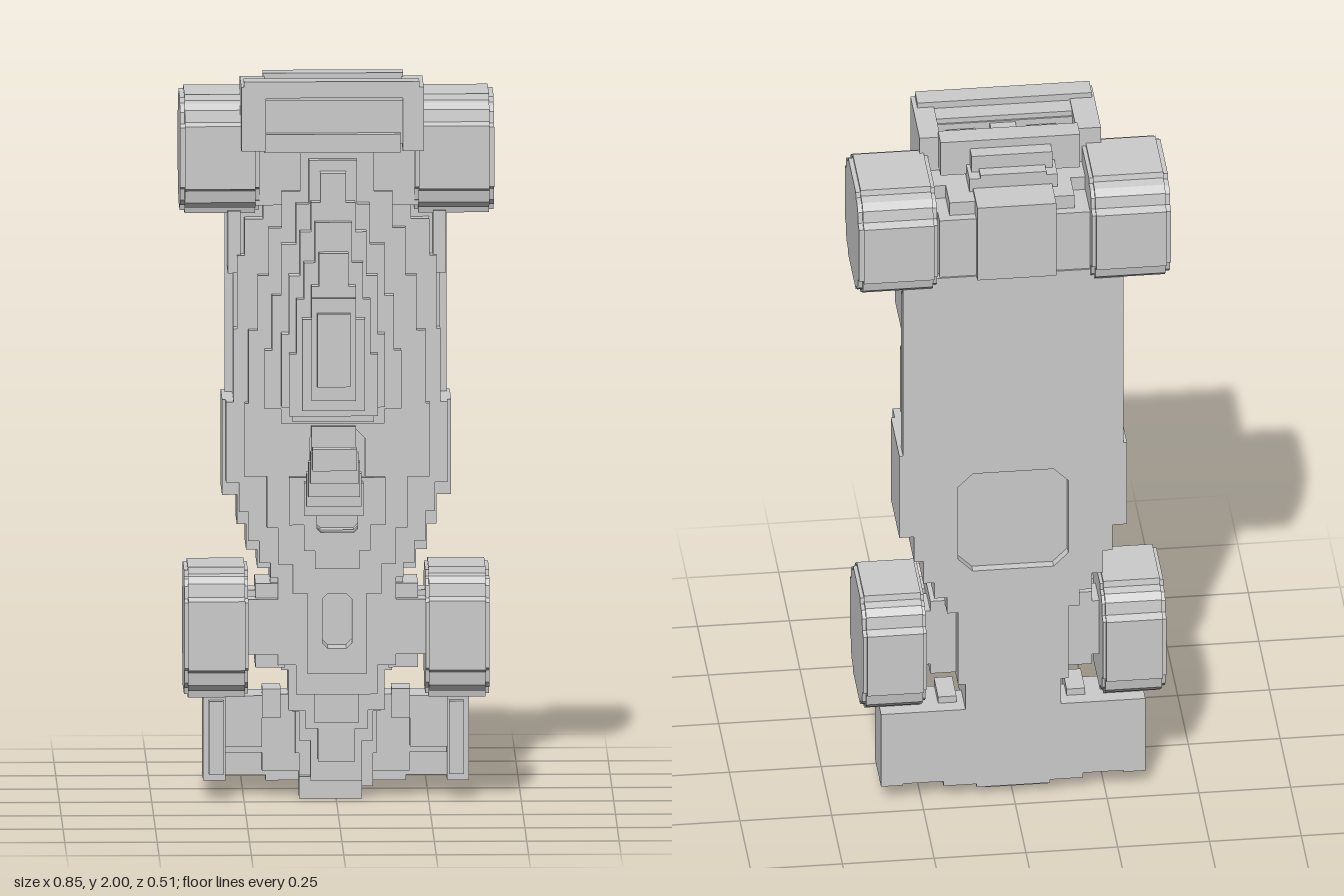
import * as THREE from 'three';

const material = new THREE.MeshStandardMaterial({ color: 0xcccccc, flatShading: true });

export function createModel() {
  const root = new THREE.Group();

  const add = (name, geometry) => {
    const mesh = new THREE.Mesh(geometry, material);
    mesh.name = name;
    root.add(mesh);
  };

  // box given by its extents
  const box = (name, x0, x1, y0, y1, z0, z1) => add(name,
    new THREE.BoxGeometry(x1 - x0, y1 - y0, z1 - z0)
      .translate((x0 + x1) / 2, (y0 + y1) / 2, (z0 + z1) / 2));

  // the same box on both sides
  const pair = (name, x0, x1, ...rest) => {
    box(name + 'Left', x0, x1, ...rest);
    box(name + 'Right', -x1, -x0, ...rest);
  };

  // slab with a stepped symmetric outline: steps are [start y, half width],
  // holes are [half width, start y, end y, corner cut]
  const layer = (name, z0, z1, steps, yEnd, { holes = [], cx = 0 } = {}) => {
    const right = [];
    steps.forEach(([y, w], i) => {
      const next = i + 1 < steps.length ? steps[i + 1][0] : yEnd;
      right.push([w, y], [w, next]);
    });
    const left = right.map(([x, y]) => [-x, y]).reverse();
    const shape = new THREE.Shape([...right, ...left].map(([x, y]) => new THREE.Vector2(x + cx, y)));
    for (const [w, y0, y1, c] of holes) {
      shape.holes.push(new THREE.Path([
        [-w + c, y0], [-w, y0 + c], [-w, y1 - c], [-w + c, y1],
        [w - c, y1], [w, y1 - c], [w, y0 + c], [w - c, y0],
      ].map(([x, y]) => new THREE.Vector2(x, y))));
    }
    add(name, new THREE.ExtrudeGeometry(shape, { depth: z1 - z0, bevelEnabled: false })
      .translate(0, 0, z0));
  };

  // blocky wheel: a wide stepped disc with a slightly larger tread band
  const wheel = (name, side, cy, cz, ry, rz, xIn, xOut) => {
    const group = new THREE.Group();
    group.name = name;
    [[0, 1, 0.95], [0.05, 0.94, 1]].forEach(([a, b, s]) => {
      const quarter = [[1, 0.53], [0.86, 0.58], [0.83, 0.78], [0.72, 0.88], [0.55, 0.9], [0.53, 1]];
      const mirrored = (sx, sy) => quarter.map(([u, v]) => [u * sx, v * sy]);
      const outline = [
        ...mirrored(1, 1), ...mirrored(-1, 1).reverse(),
        ...mirrored(-1, -1), ...mirrored(1, -1).reverse(),
      ];
      const shape = new THREE.Shape(outline.map(([u, v]) => new THREE.Vector2(u * rz * s, v * ry * s)));
      const x0 = xIn + (xOut - xIn) * a, depth = (xOut - xIn) * (b - a);
      const geometry = new THREE.ExtrudeGeometry(shape, { depth, bevelEnabled: false })
        .translate(0, 0, -depth / 2)
        .rotateY(-Math.PI / 2)
        .translate(side * (x0 + depth / 2), cy, cz);
      group.add(new THREE.Mesh(geometry, material));
    });
    root.add(group);
  };

  for (const [side, label] of [[1, 'Left'], [-1, 'Right']]) {
    wheel('rearWheel' + label, side, 1.775, -0.077, 0.162, 0.176, 0.21, 0.425);
    wheel('frontWheel' + label, side, 0.465, -0.083, 0.178, 0.165, 0.24, 0.413);
  }

  // underfloor with a shallow recess, then the hull tiers above it
  const hull = [[0.25, 0.13], [0.36, 0.15], [0.59, 0.18], [0.64, 0.215], [0.69, 0.245],
    [0.76, 0.27], [0.84, 0.31]];
  layer('underfloor', -0.2, -0.175, [...hull, [1.1, 0.3]], 1.66, { holes: [[0.15, 0.72, 1.03, 0.04]] });
  layer('hull', -0.175, 0, [...hull, [1.1, 0.28]], 1.64);
  layer('sidepods', 0, 0.045, [[0.3, 0.11], [0.38, 0.16], [0.62, 0.18], [0.66, 0.21], [0.72, 0.24],
    [0.8, 0.265], [0.88, 0.3], [1.1, 0.28], [1.3, 0.27], [1.5, 0.25], [1.6, 0.2]], 1.72,
  { holes: [[0.07, 0.75, 0.88, 0.025], [0.04, 0.43, 0.58, 0.015]] });
  layer('upperDeck', 0.045, 0.075, [[0.36, 0.08], [0.58, 0.12], [0.66, 0.16], [0.76, 0.19],
    [0.9, 0.25], [1.1, 0.24], [1.3, 0.215], [1.45, 0.185], [1.58, 0.15], [1.68, 0.1]], 1.8,
  { holes: [[0.075, 0.74, 1.03, 0.025], [0.04, 0.43, 0.58, 0.015]] });
  pair('podRim', 0.27, 0.3, 1.08, 1.6, -0.19, -0.15);
  pair('podShoulder', 0.26, 0.295, 1.45, 1.62, -0.16, 0.03);

  // engine cover, narrowing tier by tier
  const tiers = [
    [0.07, 0.11, [[1.05, 0.14], [1.09, 0.185], [1.25, 0.165], [1.4, 0.14], [1.54, 0.1], [1.65, 0.065]], 1.77],
    [0.11, 0.15, [[1.06, 0.11], [1.1, 0.14], [1.3, 0.12], [1.46, 0.09], [1.58, 0.06], [1.66, 0.035]], 1.74],
    [0.15, 0.18, [[1.08, 0.12], [1.25, 0.1], [1.4, 0.08], [1.5, 0.05]], 1.61],
    [0.18, 0.215, [[1.1, 0.085], [1.35, 0.06], [1.44, 0.04]], 1.53],
    [0.215, 0.235, [[1.13, 0.06]], 1.41],
    [0.235, 0.253, [[1.17, 0.045]], 1.37],
  ];
  tiers.forEach(([z0, z1, steps, yEnd], i) =>
    layer('engineCoverTier' + (i + 1), z0, z1, steps, yEnd, { cx: -0.012 }));

  // cockpit rim, driver and the raked screen
  layer('cockpitRim', 0.07, 0.095, [[0.65, 0.06], [0.7, 0.09], [0.77, 0.13]], 0.9,
    { holes: [[0.055, 0.75, 0.86, 0.01]] });
  box('driver', -0.07, 0.05, 0.88, 1.04, 0.02, 0.1);
  [[0.8, 0.89, 0.09, 0.13], [0.83, 0.92, 0.12, 0.16], [0.86, 0.955, 0.15, 0.185],
    [0.9, 0.985, 0.18, 0.215], [0.94, 1.0, 0.21, 0.25]].forEach(([y0, y1, z0, z1], i) =>
    box('screenStep' + (i + 1), -0.09 + i * 0.005, 0.07 - i * 0.005, y0, y1, z0, z1));

  // nose stepping down to the tip
  layer('noseBase', -0.2, -0.09, [[0.03, 0.1], [0.12, 0.11]], 0.3);
  layer('noseMiddle', -0.09, -0.05, [[0.05, 0.07], [0.16, 0.1], [0.24, 0.12]], 0.5);
  layer('noseUpper', -0.05, 0, [[0.11, 0.05], [0.2, 0.085], [0.28, 0.11]], 0.5);
  layer('noseTop', 0, 0.03, [[0.22, 0.06], [0.3, 0.08]], 0.42);
  layer('noseTip', -0.155, -0.06, [[0, 0.085]], 0.06, { cx: -0.015 });

  // front wing rising towards its end plates
  layer('frontWing', -0.2, -0.13, [[0.04, 0.19], [0.055, 0.31]], 0.28);
  layer('frontWingFlap', -0.13, -0.1, [[0.07, 0.2], [0.12, 0.3]], 0.28);
  pair('frontWingRise', 0.2, 0.3, 0.14, 0.28, -0.1, -0.07);
  pair('frontWingStay', 0.15, 0.2, 0.22, 0.3, -0.16, -0.06);
  pair('frontWingEnd', 0.3, 0.36, 0.05, 0.28, -0.2, -0.06);
  pair('frontWingEndTop', 0.305, 0.345, 0.07, 0.27, -0.06, -0.03);

  // front suspension filling the space between nose and wheels
  pair('frontArmBlock', 0.14, 0.22, 0.37, 0.6, -0.15, 0.02);
  pair('frontUpperArm', 0.12, 0.245, 0.41, 0.56, -0.02, 0.045);
  pair('frontLowerArm', 0.12, 0.26, 0.4, 0.57, -0.15, -0.06);

  // gearbox, diffuser and rear axle
  box('diffuser', -0.115, 0.1, 1.66, 1.89, -0.222, -0.12);
  box('rearFloor', -0.21, 0.2, 1.62, 1.84, -0.195, -0.1);
  box('gearboxLower', -0.17, 0.17, 1.62, 1.88, -0.17, -0.05);
  box('gearboxMiddle', -0.13, 0.11, 1.62, 1.92, -0.12, 0);
  box('gearboxUpper', -0.22, 0.22, 1.64, 1.88, -0.08, 0.06);
  box('rearAxle', -0.26, 0.26, 1.68, 1.84, -0.15, -0.02);
  box('tailLight', -0.03, 0.02, 1.8, 1.87, 0.06, 0.14);
  box('wingPillar', -0.04, 0.03, 1.82, 1.96, -0.04, 0.12);

  // hollow rear wing
  box('rearWingTopEdge', -0.255, 0.22, 1.955, 2.0, 0.155, 0.215);
  box('rearWingTopSlab', -0.2, 0.18, 1.94, 1.98, 0.1, 0.16);
  box('rearWingPlate', -0.24, 0.21, 1.82, 1.965, 0.095, 0.145);
  box('rearWingLip', -0.2, 0.17, 1.8, 1.85, 0.09, 0.175);
  box('rearWingEndRight', -0.262, -0.195, 1.81, 1.985, 0, 0.215);
  box('rearWingEndLeft', 0.175, 0.232, 1.81, 1.985, 0, 0.215);
  box('rearWingBackBar', -0.2, 0.18, 1.89, 1.995, -0.045, 0.015);
  box('rearWingBackStep', -0.12, 0.1, 1.88, 1.97, -0.085, -0.04);
  box('rearWingBackLowStep', -0.1, 0.08, 1.86, 1.93, -0.12, -0.08);
  box('rearWingInnerFloor', -0.2, 0.18, 1.84, 1.9, 0, 0.1);
  pair('rearWingInnerBlock', 0.07, 0.15, 1.89, 1.95, 0.02, 0.09);

  return root;
}
